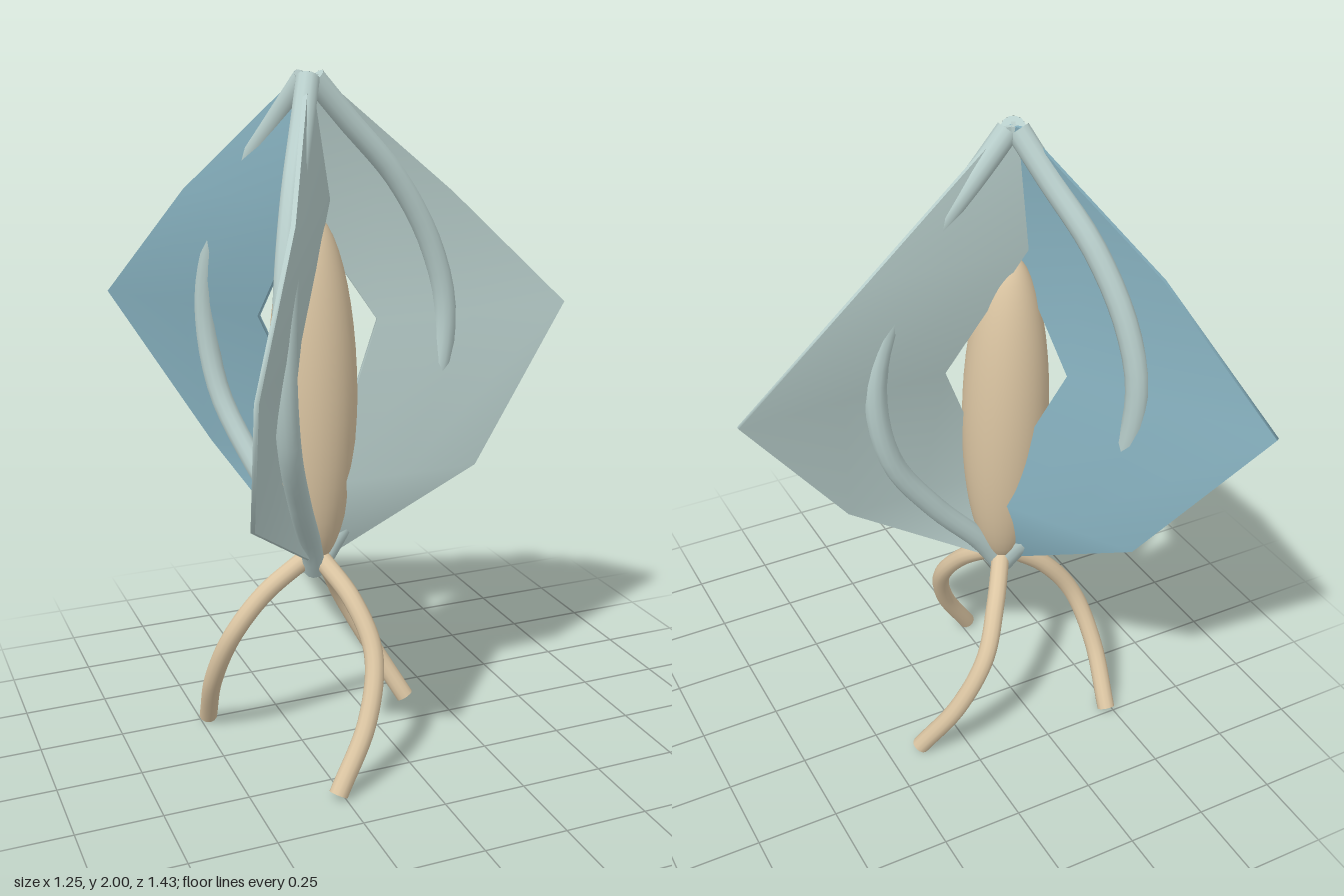
import * as THREE from 'three';

const mat = (name, color, side = THREE.FrontSide) => {
  const m = new THREE.MeshStandardMaterial({ color, side });
  m.name = name;
  return m;
};

// Fin rows from top to bottom: [y, inner radius, outer radius, inner offset, outer offset]
const FIN_ROWS = [
  [1.99, -0.01, 0.03, 0, 0],
  [1.65, -0.03, 0.45, -0.045, -0.035],
  [1.3, 0.2, 0.82, 0, -0.012],
  [0.85, 0.0, 0.48, 0.085, 0.08],
  [0.6, -0.01, 0.05, 0, 0],
];

// Thin twisted diamond panel with a notch around the core
function finGeometry() {
  const g = new THREE.BoxGeometry(1, 4, 0.012, 2, 4, 1);
  const p = g.attributes.position;
  for (let i = 0; i < p.count; i++) {
    const u = p.getX(i) + 0.5;
    const [y, r0, r1, t0, t1] = FIN_ROWS[Math.round(2 - p.getY(i))];
    p.setXYZ(i, r0 + (r1 - r0) * u, y, t0 + (t1 - t0) * u + p.getZ(i));
  }
  g.computeVertexNormals();
  return g;
}

// Round tube through points, closed at both ends
function cappedTube(name, points, radius, material) {
  const group = new THREE.Group();
  group.name = name;
  const curve = new THREE.CatmullRomCurve3(points.map((p) => new THREE.Vector3(...p)));
  const tube = new THREE.Mesh(new THREE.TubeGeometry(curve, 32, radius, 12), material);
  tube.name = name + 'Tube';
  group.add(tube);
  for (const end of [0, 1]) {
    const cap = new THREE.Mesh(new THREE.CircleGeometry(radius, 12), material);
    cap.name = name + 'Cap';
    const dir = curve.getTangent(end).multiplyScalar(end ? 1 : -1);
    cap.position.copy(curve.getPoint(end));
    cap.quaternion.setFromUnitVectors(new THREE.Vector3(0, 0, 1), dir);
    group.add(cap);
  }
  return group;
}

export function createModel() {
  const model = new THREE.Group();
  model.name = 'finnedPod';
  const grey = mat('paleGreyGreen', 0xb9cfcc, THREE.DoubleSide);
  const blue = mat('dustyBlue', 0x86b0be, THREE.DoubleSide);
  const tan = mat('tan', 0xdcc6a3);

  // Everything turns around an upright axis left of centre
  const body = new THREE.Group();
  body.name = 'body';
  body.position.x = -0.2;
  model.add(body);

  // Spindle-shaped core
  const core = new THREE.Mesh(new THREE.SphereGeometry(1, 32, 24), tan);
  core.name = 'core';
  core.scale.set(0.128, 0.52, 0.128);
  core.position.y = 1.1;
  body.add(core);

  const ribPath = [
    [0.015, 1.98, 0], [0.11, 1.87, 0], [0.26, 1.7, 0], [0.37, 1.5, 0], [0.415, 1.3, 0],
    [0.37, 1.05, 0], [0.23, 0.84, 0], [0.07, 0.66, 0], [0.005, 0.56, 0],
  ];
  const legPath = [
    [0.01, 0.6, 0.02], [0.065, 0.5, 0.14], [0.09, 0.37, 0.235],
    [0.04, 0.2, 0.31], [-0.07, 0.015, 0.36],
  ];
  const fin = finGeometry();

  // Three sectors: a fin, its curved rib and a trailing leg
  for (let i = 0; i < 3; i++) {
    const sector = new THREE.Group();
    sector.name = 'sector' + (i + 1);
    sector.rotation.y = (-i * Math.PI * 2) / 3;
    const panel = new THREE.Mesh(fin, i === 2 ? blue : grey);
    panel.name = 'fin';
    sector.add(panel);
    sector.add(cappedTube('rib', ribPath, 0.033, grey));
    sector.add(cappedTube('leg', legPath, 0.028, tan));
    body.add(sector);
  }
  return model;
}
